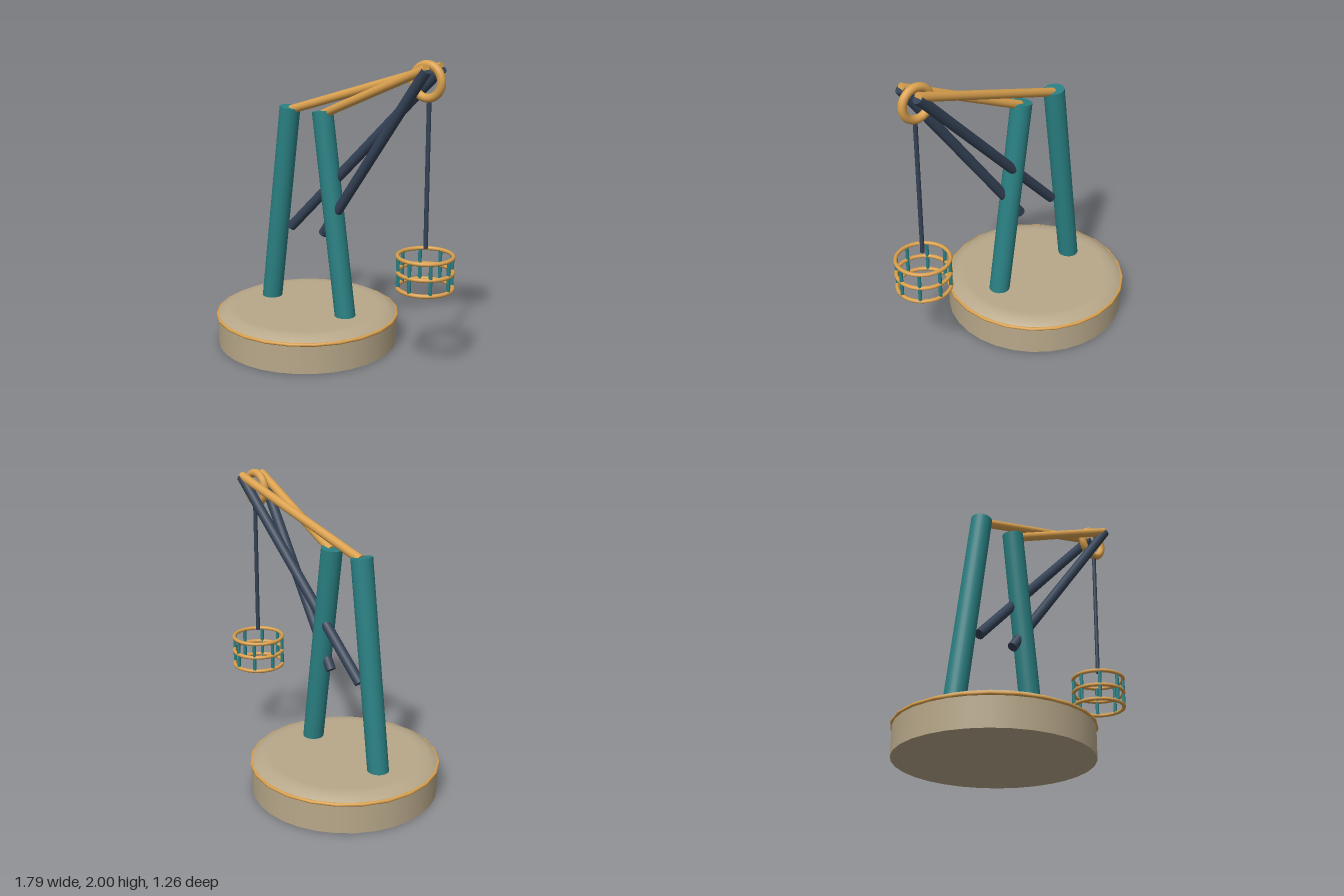
import * as THREE from 'three';

const paint = (name, color) => {
  const m = new THREE.MeshStandardMaterial({ color });
  m.name = name;
  return m;
};

export function createModel() {
  const group = new THREE.Group();
  const stone = paint('stone', 0xb8a88a);
  const gold = paint('gold', 0xd9a04e);
  const teal = paint('teal', 0x2a8083);
  const slate = paint('slate', 0x344256);

  const add = (name, geometry, material, x = 0, y = 0, z = 0, parent = group) => {
    const mesh = new THREE.Mesh(geometry, material);
    mesh.name = name;
    mesh.position.set(x, y, z);
    parent.add(mesh);
    return mesh;
  };

  // Round bar between two points
  const bar = (name, from, to, radius, material, parent = group, sides = 20) => {
    const a = new THREE.Vector3(...from), b = new THREE.Vector3(...to);
    const dir = b.clone().sub(a);
    const mid = a.clone().add(b).multiplyScalar(0.5);
    const mesh = add(name, new THREE.CylinderGeometry(radius, radius, dir.length(), sides),
      material, mid.x, mid.y, mid.z, parent);
    mesh.quaternion.setFromUnitVectors(new THREE.Vector3(0, 1, 0), dir.normalize());
    return mesh;
  };

  // Horizontal ring
  const hoop = (name, R, tube, x, y, segments, parent = group) => {
    const mesh = add(name, new THREE.TorusGeometry(R, tube, 10, segments), gold, x, y, 0, parent);
    mesh.rotation.x = Math.PI / 2;
    return mesh;
  };

  // Base drum with a softly bevelled top and a gold trim
  const baseX = -0.264;
  add('baseDrum', new THREE.CylinderGeometry(0.62, 0.62, 0.2, 32), stone, baseX, 0.1, 0);
  const capProfile = [[0.62, 0.2], [0.615, 0.214], [0.556, 0.243], [0.5, 0.244], [0, 0.244]]
    .map(([r, y]) => new THREE.Vector2(r, y));
  add('baseTop', new THREE.LatheGeometry(capProfile, 32), stone, baseX);
  hoop('baseTrim', 0.62, 0.012, baseX, 0.2, 24);

  // Each leg carries one boom and one strut, meeting at the tip
  const frames = [
    { name: 'right', foot: -0.601, top: -0.405, strut: -0.405, z: -0.083 },
    { name: 'left', foot: 0.076, top: -0.122, strut: -0.118, z: 0.083 },
  ];
  for (const f of frames) {
    bar(f.name + 'Leg', [f.foot, 0.2, 0], [f.top, 1.617, 0], 0.07, teal, group, 24);
    bar(f.name + 'Boom', [f.top + 0.01, 1.6, 0], [0.735, 1.957, f.z], 0.029, gold);
    bar(f.name + 'Strut', [f.strut, 0.787, 0], [0.738, 1.95, f.z], 0.034, slate);
  }

  // Pulley ring and rope
  add('pulleyRing', new THREE.TorusGeometry(0.1, 0.027, 14, 32), gold, 0.69, 1.873, 0);
  bar('rope', [0.706, 0.84, 0], [0.706, 1.77, 0], 0.014, slate, group, 12);

  // Open basket: three hoops on eight posts
  const basket = new THREE.Group();
  basket.name = 'basket';
  basket.position.x = 0.706;
  group.add(basket);
  for (const y of [0.586, 0.688, 0.79]) hoop('basketHoop', 0.174, 0.013, 0, y, 28, basket);
  for (let i = 0; i < 8; i++) {
    const a = i * Math.PI / 4, x = 0.172 * Math.cos(a), z = 0.172 * Math.sin(a);
    bar('basketPost', [x, 0.586, z], [x, 0.79, z], 0.012, teal, basket, 10);
  }

  return group;
}
